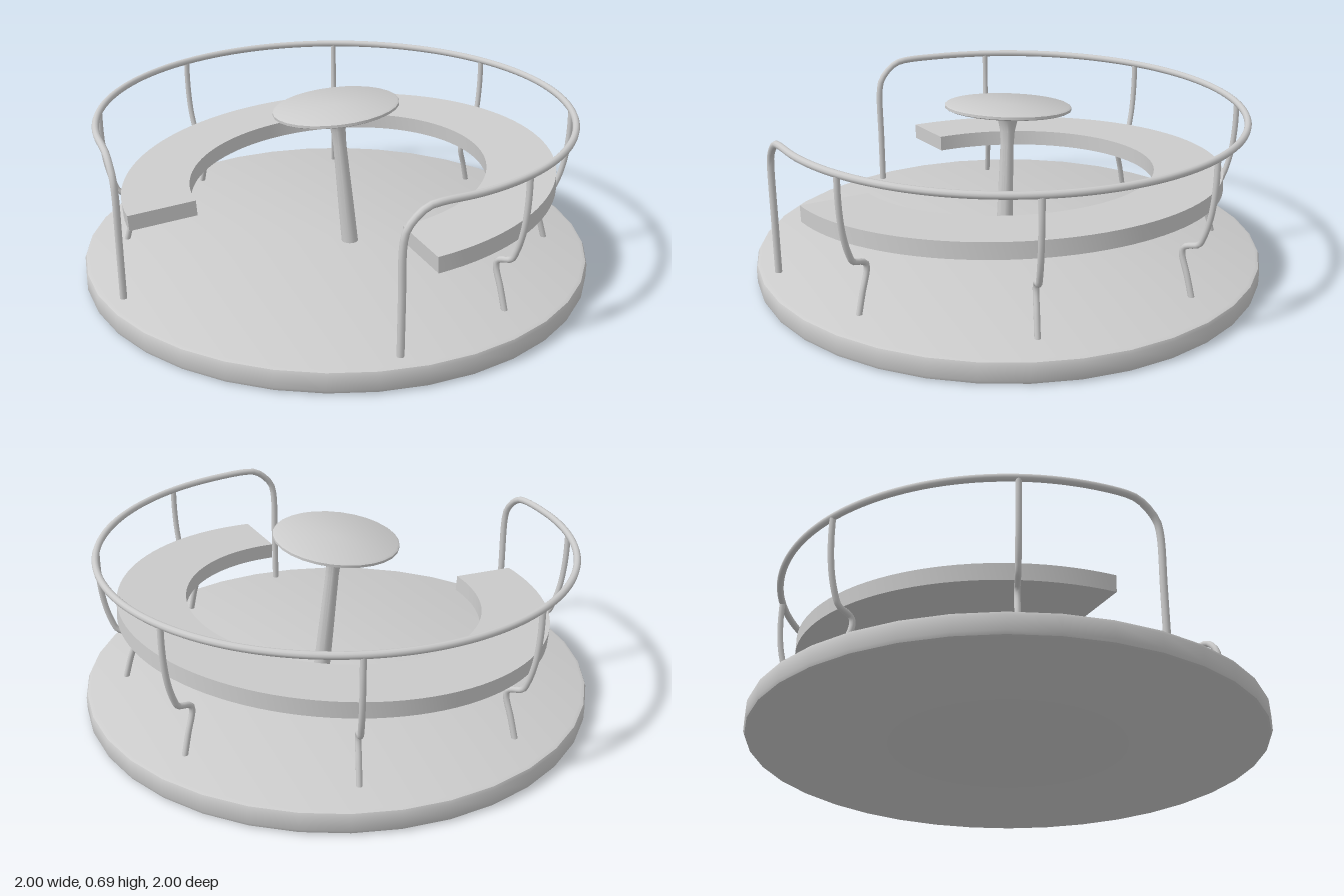
import * as THREE from 'three';
import { toCreasedNormals } from 'three/addons/utils/BufferGeometryUtils.js';

const material = new THREE.MeshStandardMaterial({ color: 0xcccccc });
const rad = THREE.MathUtils.degToRad;

function part(name, geometry) {
  const mesh = new THREE.Mesh(geometry, material);
  mesh.name = name;
  return mesh;
}

// Lathe with sharp edges kept where the profile turns strongly
function lathe(profile, sides) {
  const points = profile.map(([r, y]) => new THREE.Vector2(r, y));
  return toCreasedNormals(new THREE.LatheGeometry(points, sides), 0.6);
}

// Point on a circle; the angle runs from the front (+z) towards +x
function polar(degrees, r, y) {
  return new THREE.Vector3(r * Math.sin(rad(degrees)), y, r * Math.cos(rad(degrees)));
}

function pipe(points, radius, segments) {
  const curve = new THREE.CatmullRomCurve3(points, false, 'centripetal');
  return new THREE.TubeGeometry(curve, segments, radius, 10);
}

export function createModel() {
  const model = new THREE.Group();
  model.name = 'merryGoRound';

  // Round floor with softened rims
  model.add(part('platform', lathe(
    [[0, 0], [0.982, 0], [0.995, 0.006], [1, 0.018], [1, 0.072], [0.995, 0.084], [0.982, 0.09], [0, 0.09]], 36)));

  // Handrail: a post at each end curving into one long horizontal ring
  const end = [
    [35.3, 0.925, 0.08], [35.3, 0.925, 0.3], [35.3, 0.925, 0.5], [36, 0.924, 0.555],
    [38.6, 0.92, 0.605], [41, 0.917, 0.628], [44, 0.915, 0.635],
  ];
  const railPoints = end.map(([a, r, y]) => polar(a, r, y));
  for (let a = 52; a <= 308; a += 8) railPoints.push(polar(a, 0.915, 0.635));
  for (const [a, r, y] of [...end].reverse()) railPoints.push(polar(360 - a, r, y));
  model.add(part('handrail', pipe(railPoints, 0.0135, 180)));

  // Bent struts that run from the floor, under the bench and up to the rail
  const strut = [
    [0.847, 0.08], [0.822, 0.17], [0.797, 0.25], [0.802, 0.275], [0.82, 0.285],
    [0.862, 0.3], [0.88, 0.335], [0.897, 0.39], [0.908, 0.45], [0.915, 0.54], [0.915, 0.635],
  ];
  const struts = new THREE.Group();
  struts.name = 'struts';
  for (let i = 0; i < 6; i++) {
    const angle = 67.5 + i * 45;
    struts.add(part('strut', pipe(strut.map(([r, y]) => polar(angle, r, y)), 0.0115, 40)));
  }
  model.add(struts);

  // Slightly tilted bench, a ring open at the front
  const ring = new THREE.Shape();
  ring.absarc(0, 0, 0.848, rad(-45), rad(225), false);
  ring.absarc(0, 0, 0.583, rad(225), rad(-45), true);
  ring.closePath();
  const benchGeometry = new THREE.ExtrudeGeometry(ring, { depth: 0.062, bevelEnabled: false, curveSegments: 40 });
  benchGeometry.rotateX(-Math.PI / 2);
  const bench = part('bench', toCreasedNormals(benchGeometry, 0.6));
  bench.position.set(0.014, 0.338, 0.007);
  bench.rotation.set(0.04, 0, 0.05);
  model.add(bench);

  // Leaning centre column with a flared head and a thin round table
  const centre = new THREE.Group();
  centre.name = 'centreTable';
  centre.add(part('column', lathe(
    [[0.033, 0], [0.031, 0.15], [0.028, 0.3], [0.026, 0.42], [0.029, 0.48], [0.038, 0.52], [0.055, 0.548], [0.095, 0.57]], 20)));
  centre.add(part('tableTop', lathe(
    [[0, 0.566], [0.238, 0.566], [0.246, 0.57], [0.246, 0.58], [0.238, 0.585], [0, 0.585]], 28)));
  centre.position.set(0.062, 0.08, 0);
  centre.rotation.z = 0.108;
  model.add(centre);

  return model;
}
